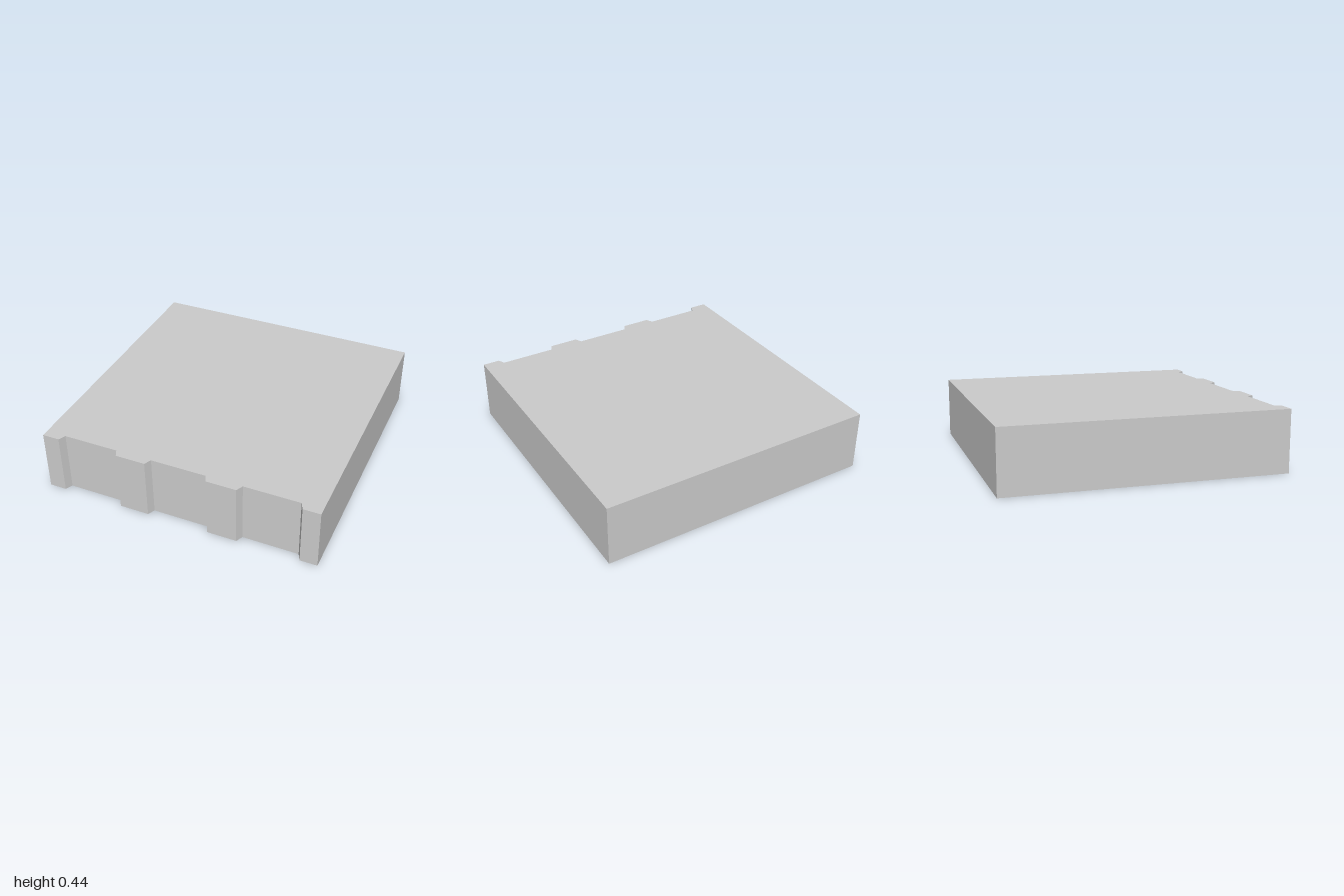
import * as THREE from 'three';

const HEIGHT = 0.445;
const NOTCH_CENTRES = [-0.656, 0, 0.656];
const NOTCH_DEPTH = 0.05;
const NOTCH_MOUTH = 0.222; // half width at the front face
const NOTCH_FLOOR = 0.198; // half width at the bottom of the notch

export function createModel() {
  const group = new THREE.Group();
  group.name = 'notchedSlab';

  // Plan outline, drawn with shape y = -z: front edge left to right, then the back
  const outline = new THREE.Shape();
  outline.moveTo(-1, -1);
  for (const x of NOTCH_CENTRES) {
    outline.lineTo(x - NOTCH_MOUTH, -1);
    outline.lineTo(x - NOTCH_FLOOR, -1 + NOTCH_DEPTH);
    outline.lineTo(x + NOTCH_FLOOR, -1 + NOTCH_DEPTH);
    outline.lineTo(x + NOTCH_MOUTH, -1);
  }
  outline.lineTo(1, -1);
  outline.lineTo(1, 1);
  outline.lineTo(-1, 1);
  outline.closePath();

  // Slab with three tapered notches, raised straight up from the ground
  const geometry = new THREE.ExtrudeGeometry(outline, { depth: HEIGHT, bevelEnabled: false });
  geometry.rotateX(-Math.PI / 2);
  const slab = new THREE.Mesh(
    geometry,
    new THREE.MeshStandardMaterial({ color: 0xcccccc, flatShading: true })
  );
  slab.name = 'slab';
  group.add(slab);

  return group;
}
